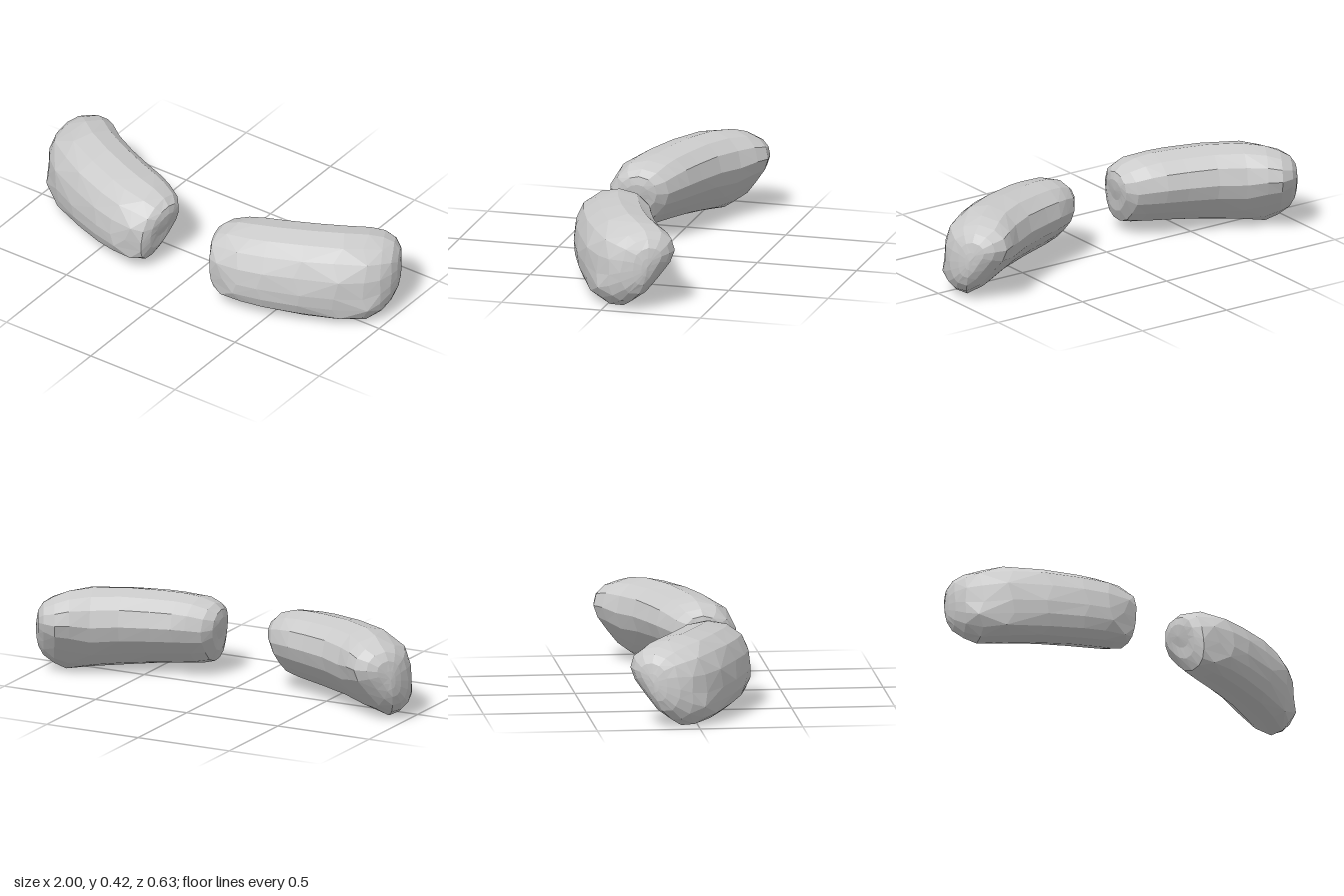
import * as THREE from 'three';

// Bean-shaped section: u runs back (0) to front (1), v runs bottom (0) to top (1)
const PROFILE = [
  [1, 0.4], [0.975, 0.62], [0.88, 0.82], [0.7, 0.94], [0.45, 1], [0.2, 0.95], [0.05, 0.82], [0, 0.62],
  [0.07, 0.43], [0.25, 0.23], [0.43, 0.07], [0.64, 0], [0.82, 0.02], [0.93, 0.1], [0.985, 0.24],
];

// Stations from inner to outer end: front x, z, back x, z, bottom y, top y
const STATIONS = [
  [0.15, 0.21, 0.138, 0.09, 0.18, 0.3],
  [0.16, 0.25, 0.142, 0.05, 0.12, 0.34],
  [0.185, 0.295, 0.18, 0, 0.06, 0.37],
  [0.26, 0.315, 0.25, -0.04, 0.042, 0.395],
  [0.37, 0.315, 0.32, -0.07, 0.036, 0.407],
  [0.49, 0.283, 0.42, -0.105, 0.028, 0.414],
  [0.66, 0.217, 0.56, -0.16, 0.018, 0.422],
  [0.83, 0.13, 0.68, -0.225, 0.006, 0.422],
  [0.94, 0.04, 0.76, -0.285, 0, 0.41],
  [0.985, -0.03, 0.82, -0.32, 0.035, 0.388],
  [1, -0.1, 0.885, -0.312, 0.085, 0.36],
  [0.995, -0.16, 0.93, -0.285, 0.135, 0.32],
  [0.985, -0.2, 0.955, -0.25, 0.18, 0.27],
];

// One pad lofted through the stations; side is +1 for left, -1 for right
function padGeometry(side) {
  const n = PROFILE.length;
  const last = STATIONS.length - 1;
  const pos = [];
  const index = [];
  const tri = (a, b, c) => (side > 0 ? index.push(a, b, c) : index.push(a, c, b));

  STATIONS.forEach(([fx, fz, bx, bz, y0, y1], i) => {
    PROFILE.forEach(([u, v], j) => {
      // small wobble on the front half gives the hewn, uneven facets
      const w = i > 2 && i < last - 1 && u > 0.5 ? 0.018 * Math.sin(i * 2.3 + j * 3.7) : 0;
      const lean = i < 4 ? 0.03 * (1 - v) : 0; // inner end slants under
      const lift = i > 7 ? 0.1 * Math.max(0, 0.64 - u) * (1 - v) : 0; // outer back corner cut away
      pos.push(
        side * (bx + (fx - bx) * u + lean + (i < 9 ? w : 0)),
        y0 + (y1 - y0) * v + lift,
        bz + (fz - bz) * u - 0.3 * w,
      );
    });
  });

  // skin between stations, diagonals alternating except on the hollow back
  for (let i = 0; i < last; i++) {
    for (let j = 0; j < n; j++) {
      const k = (j + 1) % n;
      const a = i * n + j, b = i * n + k, c = a + n, d = b + n;
      if ((i + j) % 2 && PROFILE[j][0] > 0.5) { tri(a, c, b); tri(c, d, b); }
      else { tri(a, c, d); tri(a, d, b); }
    }
  }

  // end caps
  for (const i of [0, last]) {
    const centre = pos.length / 3;
    const [fx, fz, bx, bz, y0, y1] = STATIONS[i];
    const shift = i === 0 ? 0.01 : 0.004;
    pos.push(side * ((fx + bx) / 2 + shift), (y0 + y1) / 2, (fz + bz) / 2);
    for (let j = 0; j < n; j++) {
      const a = i * n + j, b = i * n + ((j + 1) % n);
      if (i === 0) tri(centre, a, b);
      else tri(centre, b, a);
    }
  }

  const geo = new THREE.BufferGeometry();
  geo.setAttribute('position', new THREE.Float32BufferAttribute(pos, 3));
  geo.setIndex(index);
  const flat = geo.toNonIndexed();
  flat.computeVertexNormals();
  return flat;
}

export function createModel() {
  const group = new THREE.Group();
  group.name = 'padPair';
  const material = new THREE.MeshStandardMaterial({ color: 0xcccccc, flatShading: true });
  for (const [name, side] of [['leftPad', 1], ['rightPad', -1]]) {
    const pad = new THREE.Mesh(padGeometry(side), material);
    pad.name = name;
    group.add(pad);
  }
  return group;
}
